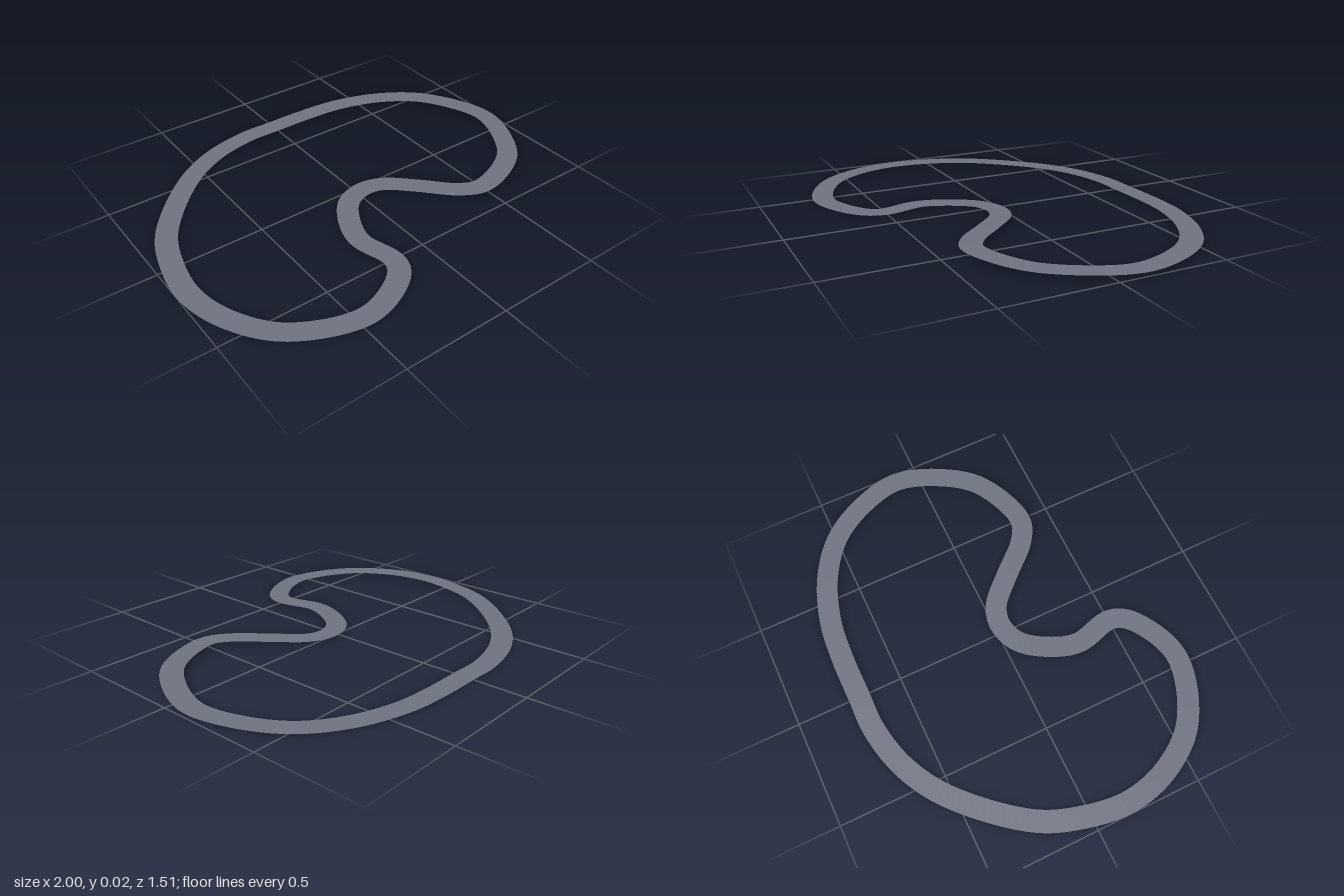
import * as THREE from 'three';

const WIDTH = 0.1;
const SEGMENTS = 200;

// Centre line of the circuit: x, height, z (clockwise seen from above)
const CENTRE_LINE = [
  [-0.17, 0, -0.703], [0.01, 0.001, -0.705], [0.2, 0.002, -0.705], [0.4, 0.004, -0.687],
  [0.62, 0.006, -0.615], [0.795, 0.009, -0.49], [0.905, 0.013, -0.31], [0.95, 0.018, -0.11],
  [0.87, 0.021, 0.11], [0.745, 0.022, 0.26], [0.49, 0.02, 0.355], [0.385, 0.017, 0.308],
  [0.255, 0.013, 0.17], [0.135, 0.008, 0.054], [0.04, 0.006, 0.028], [-0.07, 0.005, 0.066],
  [-0.158, 0.004, 0.185], [-0.2, 0.004, 0.32], [-0.162, 0.004, 0.51], [-0.21, 0.004, 0.598],
  [-0.45, 0.004, 0.702], [-0.75, 0.003, 0.59], [-0.895, 0.003, 0.4], [-0.95, 0.002, 0.19],
  [-0.925, 0.002, -0.02], [-0.845, 0.001, -0.23], [-0.58, 0, -0.53], [-0.38, 0, -0.65],
];

// Flat closed ribbon swept along a curve
function ribbon(curve, width, segments) {
  const positions = [];
  const indices = [];
  for (let i = 0; i < segments; i++) {
    const p = curve.getPointAt(i / segments);
    const t = curve.getTangentAt(i / segments);
    const k = width / 2 / Math.hypot(t.x, t.z);
    positions.push(p.x + t.z * k, p.y, p.z - t.x * k);
    positions.push(p.x - t.z * k, p.y, p.z + t.x * k);
    const a = 2 * i, b = a + 1;
    const c = 2 * ((i + 1) % segments), d = c + 1;
    indices.push(b, d, a, d, c, a);
  }
  const geometry = new THREE.BufferGeometry();
  geometry.setAttribute('position', new THREE.Float32BufferAttribute(positions, 3));
  geometry.setIndex(indices);
  geometry.computeVertexNormals();
  return geometry;
}

export function createModel() {
  const group = new THREE.Group();
  group.name = 'raceTrack';

  const asphalt = new THREE.MeshStandardMaterial({ color: 0x6f7280, side: THREE.DoubleSide });
  asphalt.name = 'asphalt grey';

  // Road surface
  const points = CENTRE_LINE.map((p) => new THREE.Vector3(...p));
  const curve = new THREE.CatmullRomCurve3(points, true, 'centripetal');
  curve.arcLengthDivisions = 1000;
  const road = new THREE.Mesh(ribbon(curve, WIDTH, SEGMENTS), asphalt);
  road.name = 'roadSurface';
  group.add(road);

  return group;
}
